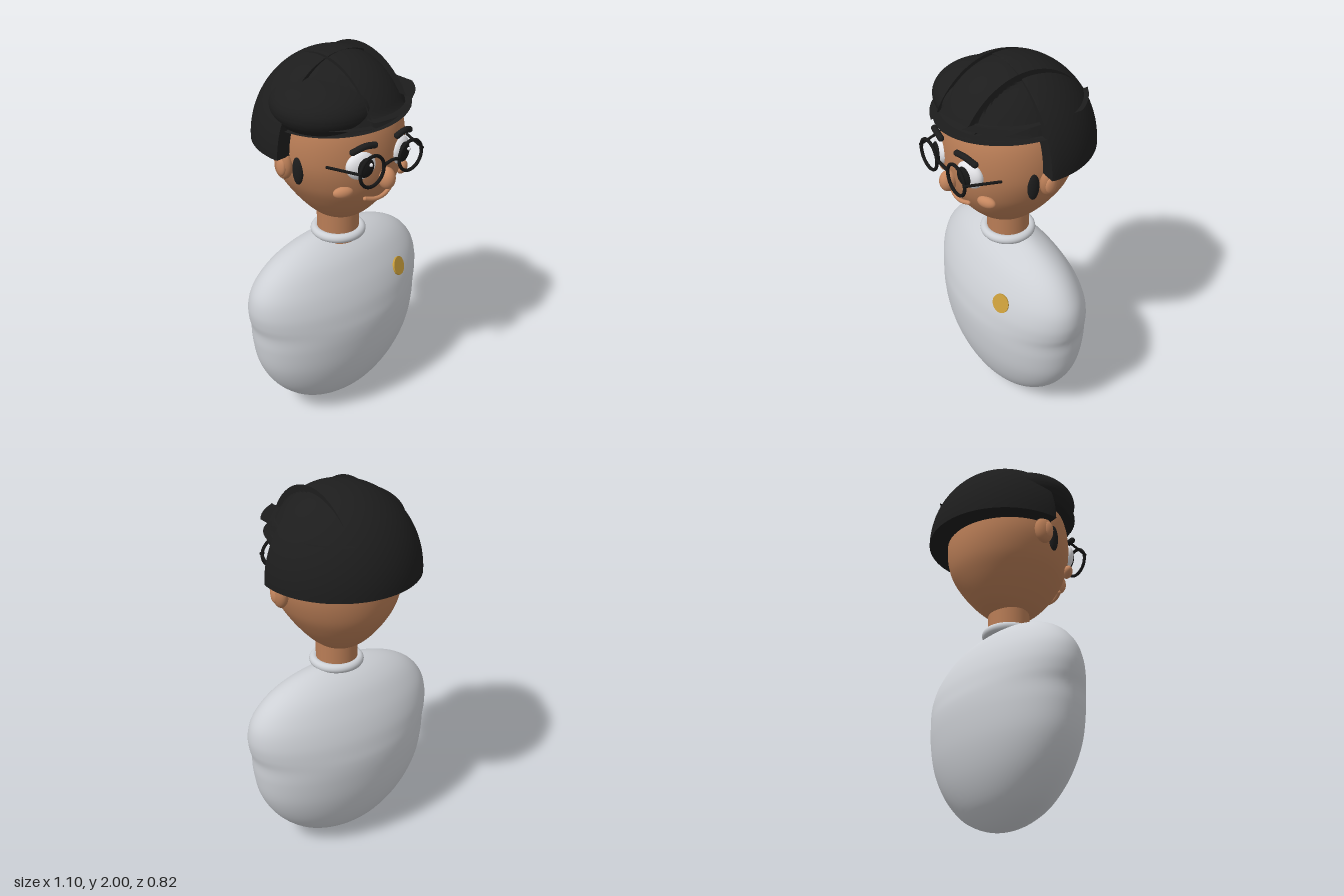
import * as THREE from 'three';
import { toCreasedNormals } from 'three/addons/utils/BufferGeometryUtils.js';

const mat = (name, color) => {
  const m = new THREE.MeshStandardMaterial({ color });
  m.name = name;
  return m;
};

// Closed smooth body of elliptical rings; each section is [y, halfWidth, halfDepth].
function loft(sections, rings = 64, sides = 64) {
  const curve = new THREE.CatmullRomCurve3(sections.map(([y, rx, rz]) => new THREE.Vector3(rx, y, rz)));
  const pos = [], idx = [], row = sides;
  for (let i = 0; i <= rings; i++) {
    const p = curve.getPoint(i / rings);
    for (let j = 0; j < sides; j++) {
      const a = (j / sides) * Math.PI * 2;
      pos.push(Math.max(p.x, 0) * Math.sin(a), p.y, Math.max(p.z, 0) * Math.cos(a));
    }
  }
  for (let i = 0; i < rings; i++) for (let j = 0; j < sides; j++) {
    const k = (j + 1) % sides;
    const a = i * row + j, b = i * row + k, c = a + row, d = b + row;
    idx.push(a, b, d, a, d, c);
  }
  const g = new THREE.BufferGeometry();
  g.setAttribute('position', new THREE.Float32BufferAttribute(pos, 3));
  g.setIndex(idx);
  g.computeVertexNormals();
  return g;
}

// Ellipsoid flattened against cutting planes by a vertex rule.
function cutEllipsoid(centre, radii, rule) {
  const g = new THREE.SphereGeometry(1, 80, 60);
  g.scale(...radii);
  g.translate(...centre);
  const p = g.attributes.position, v = new THREE.Vector3();
  for (let i = 0; i < p.count; i++) {
    rule(v.fromBufferAttribute(p, i));
    p.setXYZ(i, v.x, v.y, v.z);
  }
  return toCreasedNormals(g, 0.6);
}

export function createModel() {
  const root = new THREE.Group();
  root.name = 'characterBust';
  const shirt = mat('shirt grey', 0xcdd0d5), skin = mat('skin', 0xb97d56), blush = mat('warm skin', 0xc6875f);
  const hair = mat('hair black', 0x1d1d1d), frame = mat('glasses black', 0x161616);
  const white = mat('eye white', 0xececf0), gold = mat('badge gold', 0xc79c3a);

  const add = (name, geo, m, pos = [0, 0, 0], rot = [0, 0, 0]) => {
    const mesh = new THREE.Mesh(geo, m);
    mesh.name = name;
    mesh.position.set(...pos);
    mesh.rotation.set(...rot);
    root.add(mesh);
    return mesh;
  };
  const ball = (name, m, pos, radii, rot) =>
    add(name, new THREE.SphereGeometry(1, 32, 24).scale(...radii), m, pos, rot);
  const tube = (name, m, pts, r) => {
    const path = new THREE.CatmullRomCurve3(pts.map(p => new THREE.Vector3(...p)));
    add(name, new THREE.TubeGeometry(path, 20, r, 10), m);
    [pts[0], pts[pts.length - 1]].forEach(p => ball(name + 'End', m, p, [r, r, r]));
  };

  // Torso with wide shoulders
  add('torso', loft([
    [0, 0, 0], [0.01, 0.1, 0.058], [0.04, 0.2, 0.116], [0.1, 0.31, 0.178], [0.22, 0.425, 0.243],
    [0.36, 0.497, 0.285], [0.5, 0.523, 0.303], [0.59, 0.528, 0.304], [0.65, 0.543, 0.295],
    [0.72, 0.55, 0.28], [0.8, 0.535, 0.251], [0.87, 0.49, 0.215], [0.93, 0.42, 0.175],
    [0.98, 0.32, 0.125], [1.015, 0.2, 0.07], [1.03, 0.09, 0.03], [1.032, 0, 0]
  ], 80), shirt);
  add('badge', new THREE.CylinderGeometry(0.05, 0.05, 0.02, 40).rotateX(Math.PI / 2), gold,
    [0.25, 0.78, 0.226], [-0.36, 0.28, 0]);

  // Neck and collar
  add('neck', new THREE.CylinderGeometry(0.109, 0.109, 0.2, 48), skin, [0, 1.095, 0.024]);
  add('collar', new THREE.TorusGeometry(0.119, 0.024, 16, 56).rotateX(Math.PI / 2), shirt, [0, 1.035, 0.026]);

  // Head
  add('head', loft([
    [1.12, 0, 0], [1.128, 0.055, 0.065], [1.15, 0.1, 0.115], [1.2, 0.158, 0.182], [1.3, 0.24, 0.264],
    [1.4, 0.3, 0.312], [1.53, 0.334, 0.328], [1.7, 0.31, 0.305], [1.85, 0.2, 0.2], [1.9, 0.1, 0.1], [1.92, 0, 0]
  ]), skin, [0, 0, 0.02]);

  // Hair: deep back cap, shorter front cap, side sweep and stepped fringe
  const hairline = x => 1.725 + 0.09 * x;
  add('hairBack', cutEllipsoid([0, 1.56, 0], [0.412, 0.44, 0.412], v => {
    v.y = Math.max(v.y, 1.56);
    v.z = Math.min(v.z, -0.0 + 0.045);
  }), hair);
  add('hairFront', cutEllipsoid([0, 1.56, 0], [0.362, 0.438, 0.38], v => {
    v.y = Math.max(v.y, hairline(v.x));
  }), hair);
  add('hairSweep', cutEllipsoid([-0.12, 1.78, 0.06], [0.265, 0.145, 0.265], v => {
    v.y = Math.max(v.y, hairline(v.x));
  }), hair);
  [[-0.36, -0.1, 1.74], [-0.11, 0.16, 1.768], [0.15, 0.31, 1.812]].forEach(([x0, x1, y0]) =>
    add('fringeLock', cutEllipsoid([0, 1.56, 0.017], [0.364, 0.436, 0.38], v => {
      v.x = Math.min(Math.max(v.x, x0), x1);
      v.y = Math.max(v.y, y0);
    }), hair));

  // Paired features
  for (const s of [1, -1]) {
    const side = s > 0 ? 'left' : 'right';
    ball(side + 'Ear', skin, [s * 0.342, 1.507, 0.012], [0.036, 0.073, 0.053]);
    ball(side + 'InnerEar', blush, [s * 0.366, 1.505, 0.022], [0.017, 0.045, 0.03]);
    ball(side + 'Sideburn', hair, [s * 0.32, 1.497, 0.09], [0.018, 0.075, 0.03], [0, s * -0.2, 0]);
    ball(side + 'Eye', white, [s * 0.13, 1.54, 0.315], [0.076, 0.07, 0.04], [0, s * 0.3, 0]);
    ball(side + 'Iris', frame, [s * 0.127, 1.538, 0.346], [0.046, 0.05, 0.018], [0, s * 0.2, 0]);
    ball(side + 'EyeGlint', white, [s * 0.127 + 0.015, 1.555, 0.367], [0.009, 0.009, 0.009]);
    tube(side + 'Brow', hair, [[s * 0.075, 1.64, 0.35], [s * 0.13, 1.647, 0.343], [s * 0.188, 1.628, 0.322]], 0.016);
    ball(side + 'Cheek', blush, [s * 0.2, 1.405, 0.272], [0.05, 0.03, 0.026], [0, s * 0.45, 0]);

    // Glasses rim and temple arm
    add(side + 'GlassesRim', new THREE.TorusGeometry(0.077, 0.0085, 12, 48), frame, [s * 0.128, 1.535, 0.39]);
    tube(side + 'GlassesHinge', frame, [[s * 0.2, 1.548, 0.39], [s * 0.211, 1.548, 0.39]], 0.008);
    tube(side + 'GlassesArm', frame, [[s * 0.211, 1.548, 0.39], [s * 0.268, 1.548, 0.235]], 0.007);
  }
  tube('glassesBridge', frame, [[-0.05, 1.543, 0.39], [0, 1.556, 0.396], [0.05, 1.543, 0.39]], 0.008);

  // Nose and smile
  ball('nose', blush, [0, 1.447, 0.362], [0.04, 0.056, 0.045]);
  tube('mouth', blush, [[-0.083, 1.342, 0.302], [-0.04, 1.329, 0.312], [0, 1.325, 0.315], [0.04, 1.329, 0.312], [0.083, 1.342, 0.302]], 0.011);

  return root;
}
